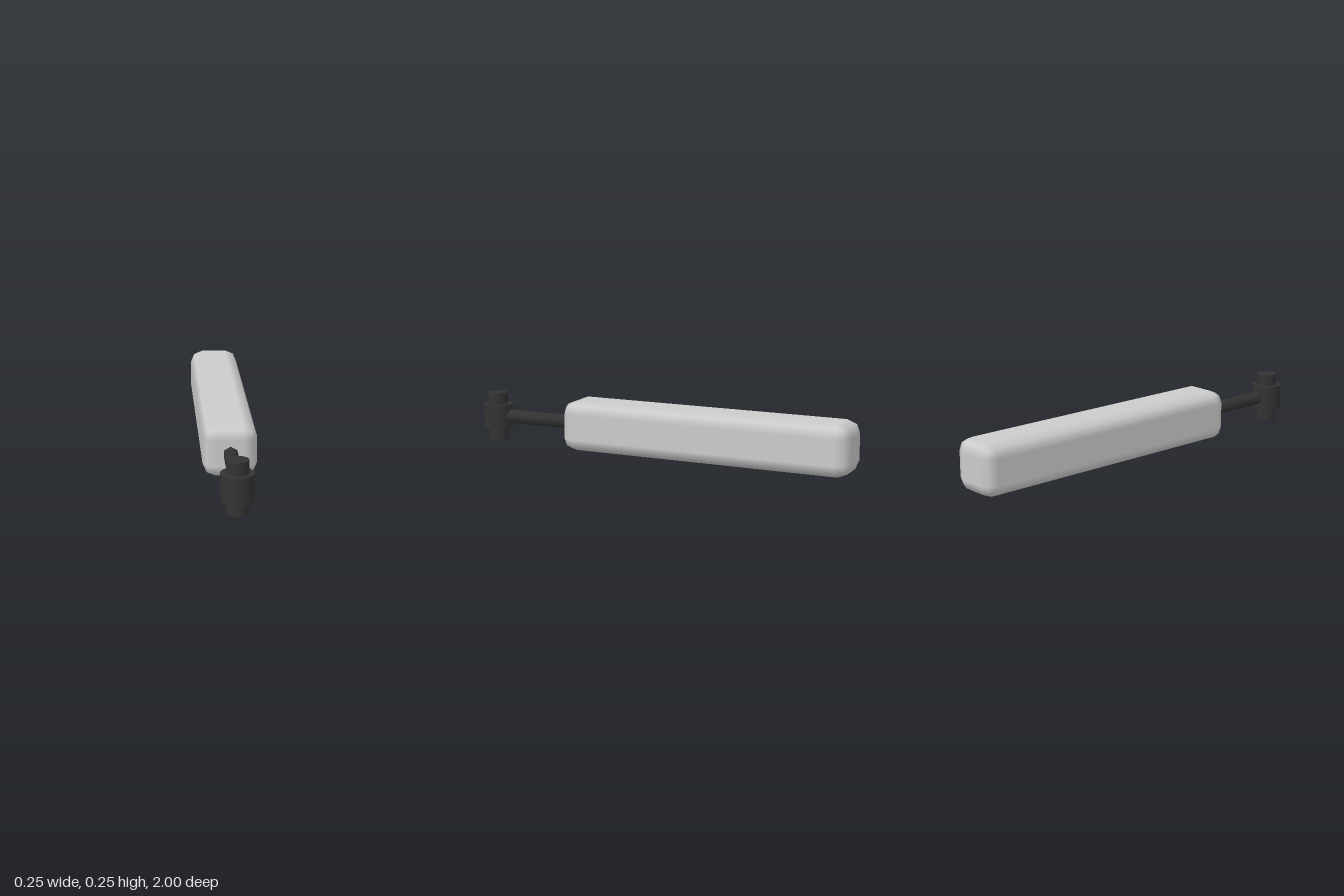
import * as THREE from 'three';
import { RoundedBoxGeometry } from 'three/addons/geometries/RoundedBoxGeometry.js';

export function createModel() {
  const group = new THREE.Group();
  const grey = new THREE.MeshStandardMaterial({ color: 0xcccccc });
  const dark = new THREE.MeshStandardMaterial({ color: 0x333333 });
  const midY = 0.127;
  const headZ = 0.925;

  const add = (name, geometry, material, z) => {
    const mesh = new THREE.Mesh(geometry, material);
    mesh.name = name;
    mesh.position.set(0, midY, z);
    group.add(mesh);
    return mesh;
  };

  // Long handle with coarse, smoothly shaded rounded edges
  add('handle', new RoundedBoxGeometry(0.252, 0.252, 1.49, 1, 0.063), grey, -0.255);

  // Six-sided rod from inside the handle to the head
  const rodStart = 0.4;
  const rod = add('rod', new THREE.CylinderGeometry(0.035, 0.035, headZ - rodStart, 6), dark, (headZ + rodStart) / 2);
  rod.rotation.x = Math.PI / 2;

  // Upright head with a narrower pin passing through it
  add('head', new THREE.CylinderGeometry(0.075, 0.075, 0.126, 20), dark, headZ);
  add('pin', new THREE.CylinderGeometry(0.05, 0.05, 0.243, 20), dark, headZ);

  return group;
}
